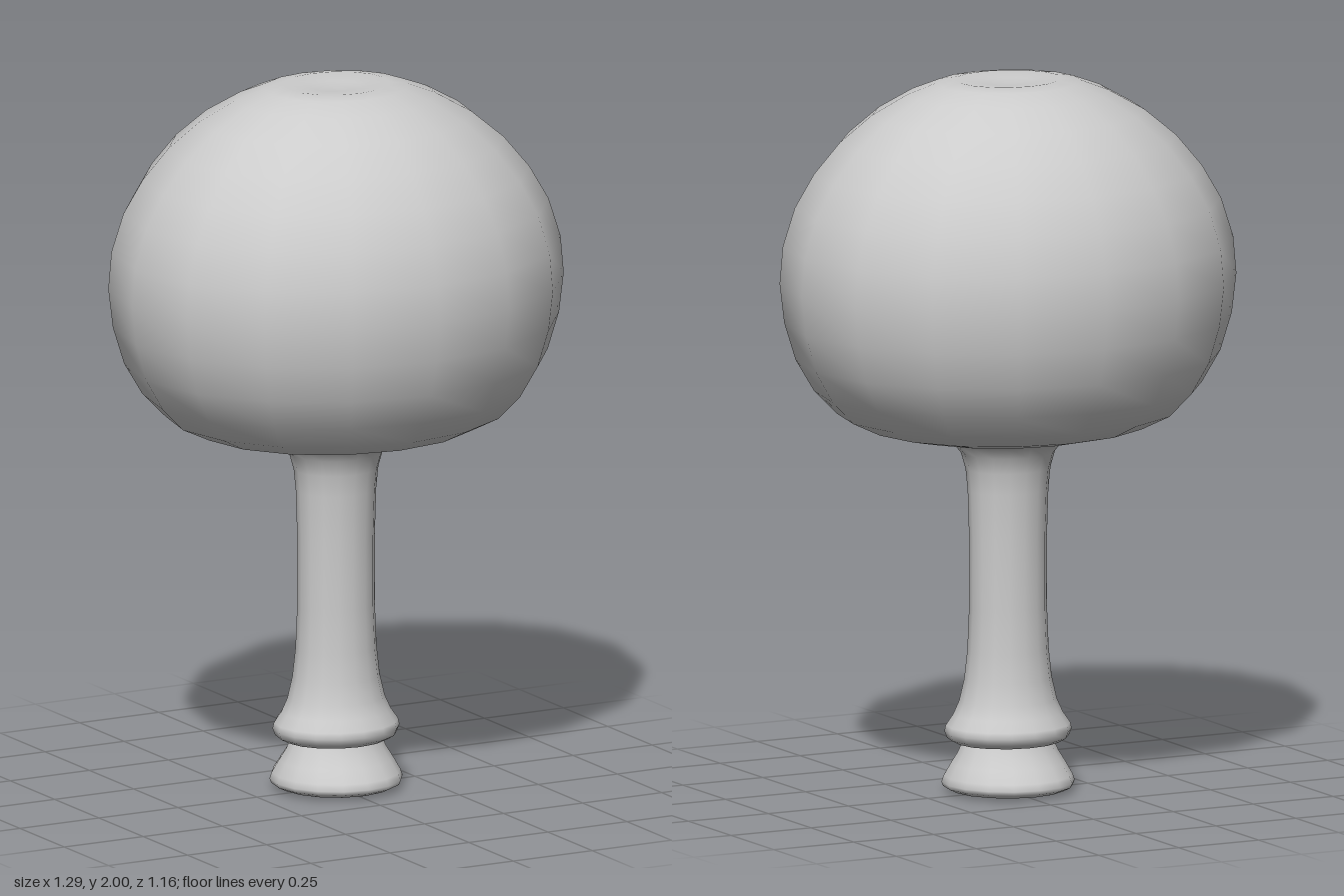
import * as THREE from 'three';
import { mergeVertices } from 'three/addons/utils/BufferGeometryUtils.js';

const SIDES = 16;
const DEPTH = 0.9; // the body is a little narrower front to back

// Turned part from [radius, height] points, with a depth ratio that can vary with height
function turned(name, profile, depthAt, material) {
  const points = profile.map(([r, y]) => new THREE.Vector2(r, y));
  let geometry = new THREE.LatheGeometry(points, SIDES);
  const pos = geometry.attributes.position;
  for (let i = 0; i < pos.count; i++) pos.setZ(i, pos.getZ(i) * depthAt(pos.getY(i)));
  // weld the seam so the shading runs smoothly all round
  geometry.deleteAttribute('uv');
  geometry.deleteAttribute('normal');
  geometry = mergeVertices(geometry, 1e-4);
  geometry.computeVertexNormals();
  const mesh = new THREE.Mesh(geometry, material);
  mesh.name = name;
  return mesh;
}

export function createModel() {
  const model = new THREE.Group();
  model.name = 'roundHeadedHandle';
  const material = new THREE.MeshStandardMaterial({ color: 0xcccccc, side: THREE.DoubleSide });

  // Flared foot: round at the rim, easing into the oval section of the stem
  const foot = [
    [0, 0.003], [0.1, 0.004], [0.16, 0.01], [0.18, 0.02], [0.185, 0.032],
    [0.179, 0.05], [0.16, 0.085], [0.142, 0.115], [0.128, 0.147],
  ];
  const footDepth = (y) => THREE.MathUtils.lerp(1, DEPTH, THREE.MathUtils.smoothstep(y, 0.03, 0.14));
  model.add(turned('foot', foot, footDepth, material));

  // Collar, slim stem and neck flowing into the bulb, with a shallow dimple on top
  const body = [
    [0.12, 0.142], [0.15, 0.144], [0.172, 0.156], [0.18, 0.175], [0.176, 0.192],
    [0.155, 0.222], [0.138, 0.26], [0.124, 0.32], [0.115, 0.4], [0.11, 0.52],
    [0.11, 0.72], [0.114, 0.85], [0.12, 0.91], [0.133, 0.955], [0.158, 0.985],
    [0.2, 1.0], [0.29, 1.01], [0.4, 1.033], [0.483, 1.072], [0.548, 1.138],
    [0.6, 1.226], [0.632, 1.33], [0.645, 1.44], [0.636, 1.545], [0.602, 1.652],
    [0.548, 1.745], [0.475, 1.832], [0.385, 1.906], [0.285, 1.962],
    [0.205, 1.992], [0.15, 2.0], [0.07, 1.992], [0, 1.988],
  ];
  model.add(turned('bulbAndStem', body, () => DEPTH, material));

  return model;
}
